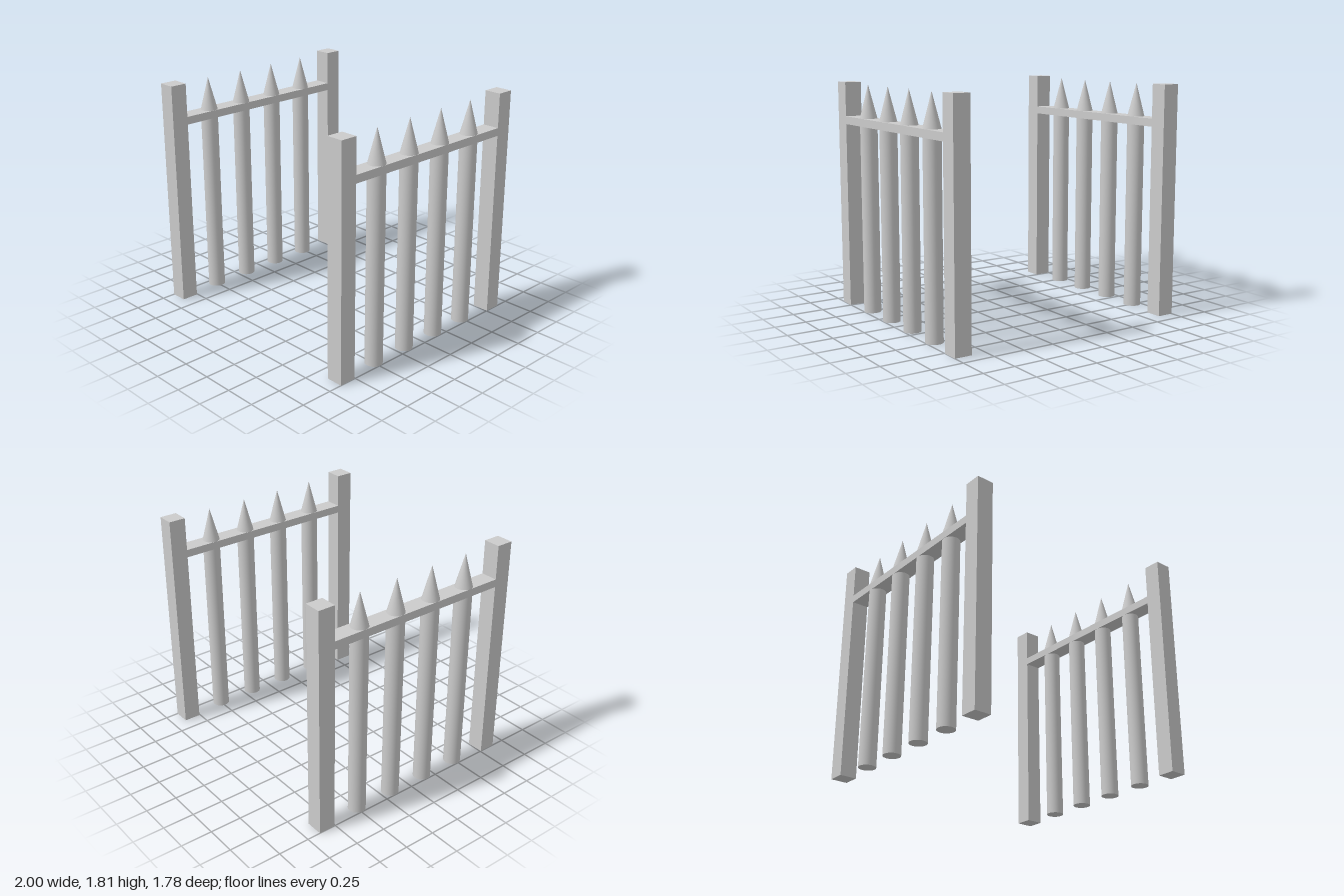
import * as THREE from 'three';

const material = new THREE.MeshStandardMaterial({ color: 0xcccccc });
const W = 0.135;            // thickness of posts and rail
const POST_H = 1.81;
const RAIL_LOW = 1.48, RAIL_TOP = 1.542;
const TIP = 1.804;
const POST_Z = 0.824;
const PICKET_GAP = 0.328;

function add(parent, name, geometry, y, z) {
  const mesh = new THREE.Mesh(geometry, material);
  mesh.name = name;
  mesh.position.set(0, y, z);
  parent.add(mesh);
}

// One fence panel running along z
function createPanel(name) {
  const panel = new THREE.Group();
  panel.name = name;

  // Square end posts
  for (const [label, side] of [['frontPost', 1], ['backPost', -1]]) {
    add(panel, label, new THREE.BoxGeometry(W, POST_H, W), POST_H / 2, side * POST_Z);
  }

  // Rail between the posts
  add(panel, 'rail', new THREE.BoxGeometry(W, RAIL_TOP - RAIL_LOW, 2 * POST_Z - W),
    (RAIL_LOW + RAIL_TOP) / 2, 0);

  // Round pickets below the rail, with pointed spikes above
  for (let i = 0; i < 4; i++) {
    const z = (1.5 - i) * PICKET_GAP;
    add(panel, 'picket' + (i + 1), new THREE.CylinderGeometry(W / 2, W / 2, RAIL_TOP - 0.01, 32),
      (RAIL_TOP - 0.01) / 2, z);
    add(panel, 'spike' + (i + 1), new THREE.ConeGeometry(W / 2, TIP - RAIL_TOP, 32),
      (RAIL_TOP + TIP) / 2, z);
  }
  return panel;
}

export function createModel() {
  const model = new THREE.Group();
  model.name = 'fencePanels';
  for (const [label, side] of [['leftPanel', 1], ['rightPanel', -1]]) {
    const panel = createPanel(label);
    panel.position.x = side * (1 - W / 2);
    model.add(panel);
  }
  return model;
}
